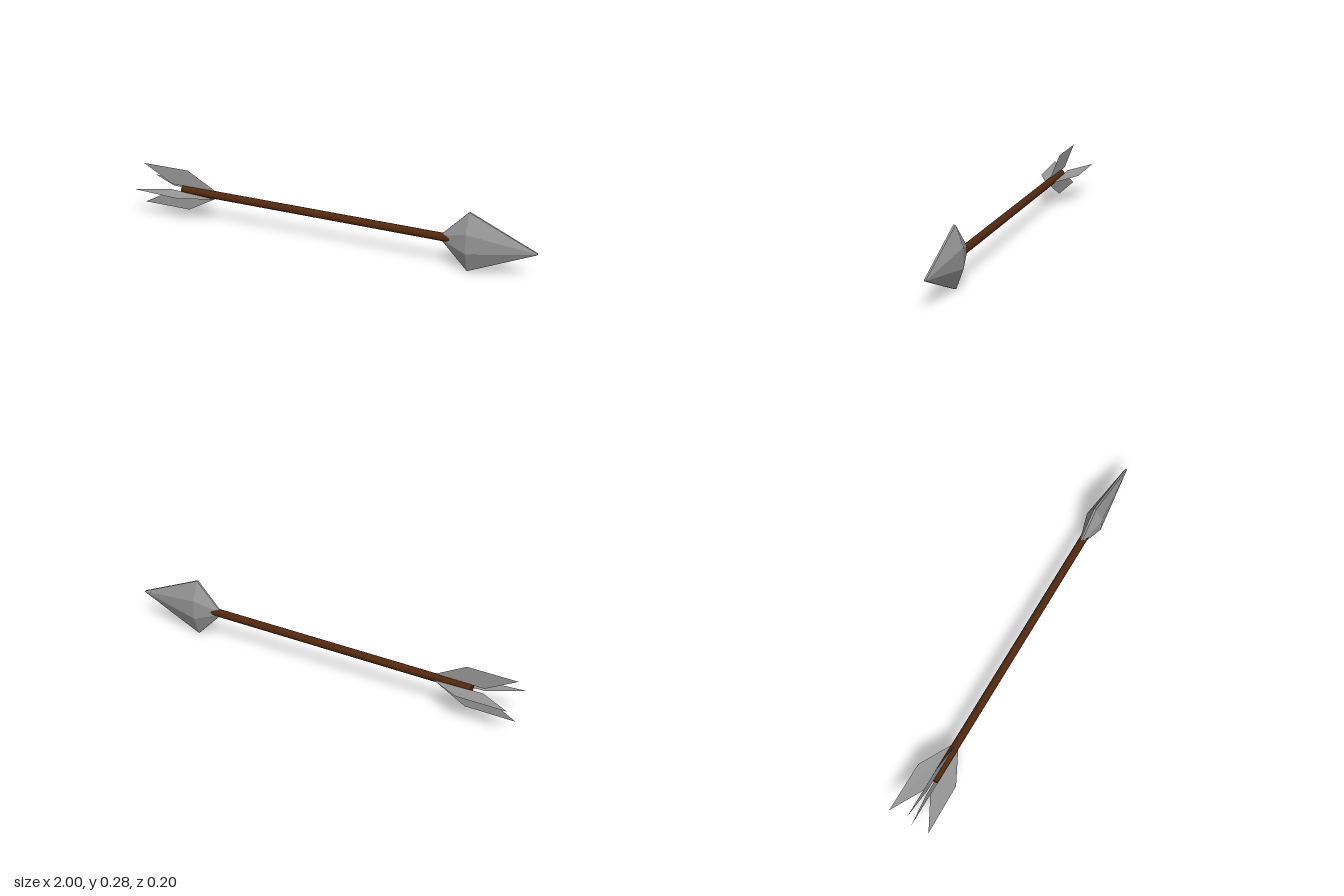
import * as THREE from 'three';

const AXIS_Y = 0.143;

// Flat-shaded solid lofted through rings of points along x
function loft(rings) {
  const pos = [];
  const n = rings[0].length;
  const tri = (a, b, c) => pos.push(...a, ...b, ...c);
  for (let i = 0; i < rings.length - 1; i++) {
    for (let j = 0; j < n; j++) {
      const k = (j + 1) % n;
      const a = rings[i][j], b = rings[i][k], c = rings[i + 1][k], d = rings[i + 1][j];
      tri(a, b, c);
      tri(a, c, d);
    }
  }
  const first = rings[0], last = rings[rings.length - 1];
  for (let j = 1; j < n - 1; j++) {
    tri(first[0], first[j + 1], first[j]);
    tri(last[0], last[j], last[j + 1]);
  }
  const g = new THREE.BufferGeometry();
  g.setAttribute('position', new THREE.Float32BufferAttribute(pos, 3));
  g.computeVertexNormals();
  return g;
}

// Eight-sided blade section, counter-clockwise seen from +x:
// narrow edges at top and bottom, broad flat cheeks
function bladeRing(x, edgeY, edgeZ, cheekY, cheekZ) {
  return [
    [edgeY, -edgeZ], [edgeY, edgeZ], [cheekY, cheekZ], [-cheekY, cheekZ],
    [-edgeY, edgeZ], [-edgeY, -edgeZ], [-cheekY, -cheekZ], [cheekY, -cheekZ],
  ].map(([y, z]) => [x, y, z]);
}

// Thin four-cornered vane
function vane(corners) {
  const g = new THREE.BufferGeometry();
  const [a, b, c, d] = corners;
  g.setAttribute('position', new THREE.Float32BufferAttribute([...a, ...b, ...c, ...a, ...c, ...d], 3));
  g.computeVertexNormals();
  return g;
}

export function createModel() {
  const model = new THREE.Group();
  model.name = 'arrow';
  const wood = new THREE.MeshStandardMaterial({ color: 0x52280f });
  const steel = new THREE.MeshStandardMaterial({ color: 0x999999, flatShading: true });
  const feather = new THREE.MeshStandardMaterial({ color: 0x999999, flatShading: true, side: THREE.DoubleSide });

  const add = (name, geometry, material) => {
    const mesh = new THREE.Mesh(geometry, material);
    mesh.name = name;
    mesh.position.y = AXIS_Y;
    model.add(mesh);
  };

  // Wooden shaft
  const shaft = new THREE.CylinderGeometry(0.019, 0.019, 1.4, 12);
  shaft.rotateZ(-Math.PI / 2);
  shaft.translate(-0.085, 0, 0);
  add('shaft', shaft, wood);

  // Faceted head: narrow neck, broad shoulder, small tip
  add('arrowhead', loft([
    bladeRing(0.557, 0.018, 0.004, 0.011, 0.008),
    bladeRing(0.68, 0.142, 0.005, 0.047, 0.04),
    bladeRing(1.0, 0.003, 0.004, 0.001, 0.005),
  ]), steel);

  // Upper and lower feathers
  for (const s of [1, -1]) {
    add(s > 0 ? 'upperFeather' : 'lowerFeather', vane([
      [-0.6, s * 0.017, 0], [-0.755, s * 0.101, 0],
      [-1.0, s * 0.101, 0], [-0.845, s * 0.017, 0],
    ]), feather);
  }

  // Side feathers, slightly twisted
  add('frontFeather', vane([
    [-0.6, -0.017, 0.014], [-0.755, -0.01, 0.096],
    [-1.0, 0.002, 0.102], [-0.845, -0.003, 0.017],
  ]), feather);
  add('backFeather', vane([
    [-0.6, -0.003, -0.017], [-0.755, 0.003, -0.101],
    [-1.0, 0.005, -0.102], [-0.845, 0.003, -0.017],
  ]), feather);

  return model;
}
